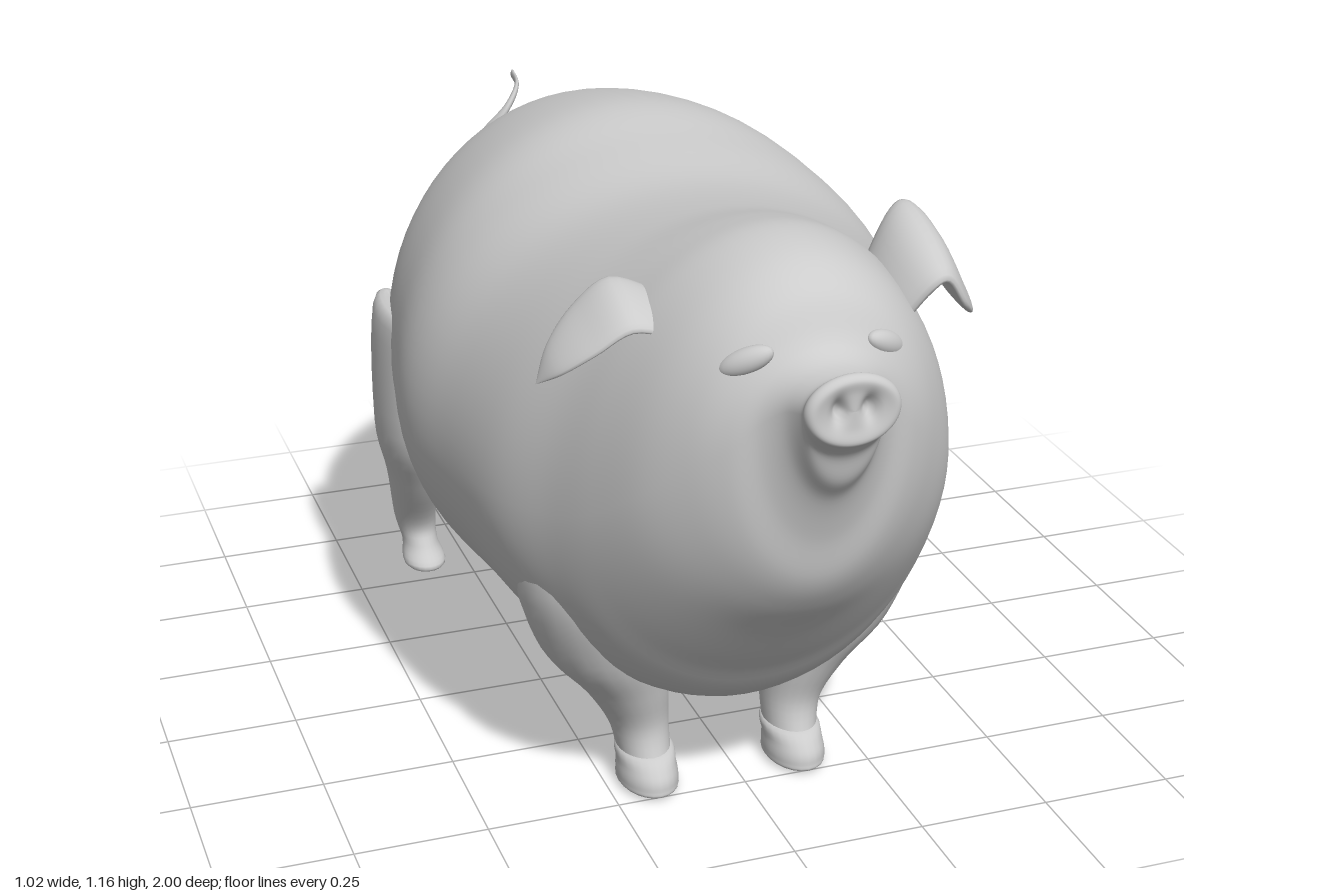
import * as THREE from 'three';

const grey = new THREE.MeshStandardMaterial({ color: 0xcccccc });
const thin = new THREE.MeshStandardMaterial({ color: 0xcccccc, side: THREE.DoubleSide });

// Catmull-Rom blend between rows of section numbers
function sample(rows, t) {
  const i = Math.min(Math.floor(t), rows.length - 2), f = t - i;
  const at = k => rows[Math.max(0, Math.min(rows.length - 1, k))];
  return rows[i].map((b, k) => {
    const a = at(i - 1)[k], c = at(i + 1)[k], d = at(i + 2)[k];
    return b + 0.5 * f * (c - a + f * (2 * a - 5 * b + 4 * c - d + f * (3 * (b - c) + d - a)));
  });
}

// Smooth skin through sections; point(section, angle) gives one ring vertex
function loft(name, rows, point, { steps = 5, sides = 24, material = grey } = {}) {
  const n = (rows.length - 1) * steps, pos = [], index = [];
  for (let i = 0; i <= n; i++) {
    const s = sample(rows, i / steps);
    for (let j = 0; j < sides; j++) pos.push(...point(s, j / sides * Math.PI * 2));
  }
  for (let i = 0; i < n; i++) for (let j = 0; j < sides; j++) {
    const a = i * sides + j, b = i * sides + (j + 1) % sides;
    index.push(a, b, b + sides, a, b + sides, a + sides);
  }
  const g = new THREE.BufferGeometry();
  g.setAttribute('position', new THREE.Float32BufferAttribute(pos, 3));
  g.setIndex(index);
  g.computeVertexNormals();
  const mesh = new THREE.Mesh(g, material);
  mesh.name = name;
  return mesh;
}

// Section [z, top, bottom, half width, height of widest point, x shift];
// two nostrils are dented into the flat front end
const barrel = ([z, top, bottom, w, mid, shift], a) => {
  const s = Math.sin(a);
  const x = shift + w * Math.cos(a), y = mid + s * (s > 0 ? top - mid : mid - bottom);
  const dx = (Math.abs(x + 0.018) - 0.026) / 0.012, dy = (y - 0.968) / 0.02;
  return [x, y, z > 0.985 ? z - 0.02 * Math.exp(-dx * dx - dy * dy) : z];
};

// Section [y, x, z, x radius, z radius]
const limb = ([y, x, z, rx, rz], a) => [x + rx * Math.cos(a), y, z + rz * Math.sin(a)];

// Section [x, y, z, half width, normal angle, half thickness]
const flap = ([x, y, z, w, deg, t], a) => {
  const n = THREE.MathUtils.degToRad(deg), c = w * Math.cos(a), s = t * Math.sin(a);
  return [x + s * Math.cos(n), y - 0.35 * c + s * Math.sin(n), z + 0.93 * c];
};

export function createModel() {
  const pig = new THREE.Group();
  pig.name = 'pig';

  // Body, head, jaw and snout in one skin, rump to nose
  pig.add(loft('body', [
    [-0.765, 0.70, 0.62, 0, 0.66, 0], [-0.76, 0.77, 0.54, 0.035, 0.65, 0],
    [-0.745, 0.83, 0.44, 0.085, 0.64, 0], [-0.70, 0.92, 0.31, 0.185, 0.63, 0],
    [-0.60, 1.01, 0.215, 0.325, 0.62, -0.005], [-0.45, 1.08, 0.185, 0.425, 0.62, 0],
    [-0.2, 1.13, 0.18, 0.48, 0.62, 0], [0, 1.11, 0.172, 0.51, 0.62, 0],
    [0.2, 1.09, 0.185, 0.475, 0.62, -0.01], [0.4, 1.11, 0.185, 0.43, 0.62, -0.02],
    [0.55, 1.145, 0.22, 0.37, 0.64, -0.02], [0.65, 1.16, 0.33, 0.33, 0.68, -0.018],
    [0.75, 1.145, 0.45, 0.28, 0.75, -0.015], [0.82, 1.105, 0.53, 0.22, 0.82, -0.015],
    [0.862, 1.045, 0.60, 0.165, 0.86, -0.015], [0.882, 1.025, 0.69, 0.118, 0.91, -0.015],
    [0.91, 1.012, 0.77, 0.088, 0.94, -0.015], [0.945, 1.008, 0.82, 0.074, 0.95, -0.015],
    [0.962, 1.013, 0.87, 0.076, 0.957, -0.016], [0.985, 1.027, 0.897, 0.083, 0.965, -0.018],
    [1.0, 1.018, 0.91, 0.073, 0.965, -0.018], [0.997, 0.995, 0.935, 0.045, 0.965, -0.018],
    [0.996, 0.965, 0.965, 0, 0.965, -0.018],
  ], barrel, { steps: 6, sides: 72 }));

  // Eyes
  for (const [side, x] of [[1, 0.1], [-1, -0.143]]) {
    const eye = new THREE.Mesh(new THREE.SphereGeometry(1, 24, 16), grey);
    eye.name = side > 0 ? 'leftEye' : 'rightEye';
    eye.scale.set(0.05, 0.022, 0.02);
    eye.position.set(x, 1.007, 0.84);
    eye.rotation.set(-0.2, side * 0.6, -side * 0.35);
    pig.add(eye);
  }

  // Ears: the left folds over sharply, the right droops outward
  pig.add(loft('leftEar', [
    [0.17, 1.02, 0.67, 0.08, 170, 0.03], [0.215, 1.09, 0.67, 0.1, 140, 0.028],
    [0.25, 1.105, 0.665, 0.105, 70, 0.025], [0.285, 1.05, 0.665, 0.095, 30, 0.018],
    [0.32, 1.0, 0.66, 0.05, 45, 0.01], [0.335, 0.985, 0.655, 0, 45, 0],
  ], flap, { material: thin }));
  pig.add(loft('rightEar', [
    [-0.21, 1.02, 0.63, 0.06, 100, 0.02], [-0.28, 1.04, 0.62, 0.07, 105, 0.018],
    [-0.34, 1.0, 0.61, 0.065, 125, 0.014], [-0.39, 0.95, 0.6, 0.04, 135, 0.01],
    [-0.42, 0.905, 0.59, 0, 140, 0],
  ], flap, { material: thin }));

  // Front legs flaring into the shoulders, and hooves, a little right of centre
  for (const side of [1, -1]) {
    const label = side > 0 ? 'left' : 'right';
    const place = rows => rows.map(([y, x, ...rest]) => [y, side * x - 0.025, ...rest]);
    pig.add(loft(label + 'FrontLeg', place([
      [0.6, 0.27, 0.41, 0.09, 0.12], [0.45, 0.265, 0.41, 0.12, 0.145],
      [0.3, 0.225, 0.4, 0.115, 0.125], [0.2, 0.178, 0.392, 0.082, 0.095],
      [0.12, 0.153, 0.395, 0.057, 0.07], [0.05, 0.146, 0.415, 0.048, 0.07],
    ]), limb));
    pig.add(loft(label + 'Hoof', place([
      [0.078, 0.146, 0.405, 0, 0], [0.073, 0.146, 0.408, 0.05, 0.066],
      [0.045, 0.147, 0.427, 0.054, 0.08], [0.02, 0.147, 0.432, 0.056, 0.083],
      [0.005, 0.147, 0.43, 0.05, 0.077], [0, 0.147, 0.43, 0, 0],
    ]), limb));
  }

  // Hind legs: broad thigh on the flank, thin hock, small foot pointing forward
  pig.add(loft('leftHindLeg', [
    [0.70, 0.40, -0.385, 0, 0.07], [0.68, 0.40, -0.385, 0.04, 0.12],
    [0.45, 0.385, -0.37, 0.07, 0.122], [0.32, 0.35, -0.41, 0.055, 0.095],
    [0.2, 0.32, -0.46, 0.04, 0.06], [0.12, 0.3, -0.44, 0.034, 0.05],
    [0.075, 0.29, -0.405, 0.042, 0.048], [0.055, 0.285, -0.395, 0, 0],
  ], limb));
  pig.add(loft('rightHindLeg', [
    [0.70, -0.43, -0.345, 0, 0.07], [0.68, -0.435, -0.345, 0.04, 0.12],
    [0.45, -0.42, -0.345, 0.065, 0.122], [0.32, -0.405, -0.38, 0.052, 0.095],
    [0.2, -0.395, -0.425, 0.042, 0.058], [0.15, -0.39, -0.41, 0.036, 0.05],
    [0.11, -0.388, -0.38, 0.042, 0.05], [0.092, -0.388, -0.37, 0, 0],
  ], limb));

  // Curly tail, flattened sideways and tapering to the tip
  const curve = new THREE.CatmullRomCurve3([
    [0, 0.84, -0.72], [-0.01, 0.81, -0.79], [-0.06, 0.80, -0.86], [-0.125, 0.79, -0.91],
    [-0.09, 0.85, -0.915], [-0.04, 0.91, -0.905], [-0.005, 0.95, -0.94], [0, 0.965, -0.998],
  ].map(p => new THREE.Vector3(...p)));
  const tube = new THREE.TubeGeometry(curve, 60, 1, 12);
  const p = tube.attributes.position, v = new THREE.Vector3();
  for (let i = 0; i < p.count; i++) {
    const t = Math.floor(i / 13) / 60, c = curve.getPointAt(t);
    const r = t === 1 ? 0 : 0.01 + 0.032 * Math.pow(1 - t, 2);
    v.fromBufferAttribute(p, i).sub(c).multiplyScalar(r);
    p.setXYZ(i, c.x + v.x * 0.4, c.y + v.y, c.z + v.z);
  }
  tube.computeVertexNormals();
  const tail = new THREE.Mesh(tube, grey);
  tail.name = 'tail';
  pig.add(tail);

  return pig;
}
